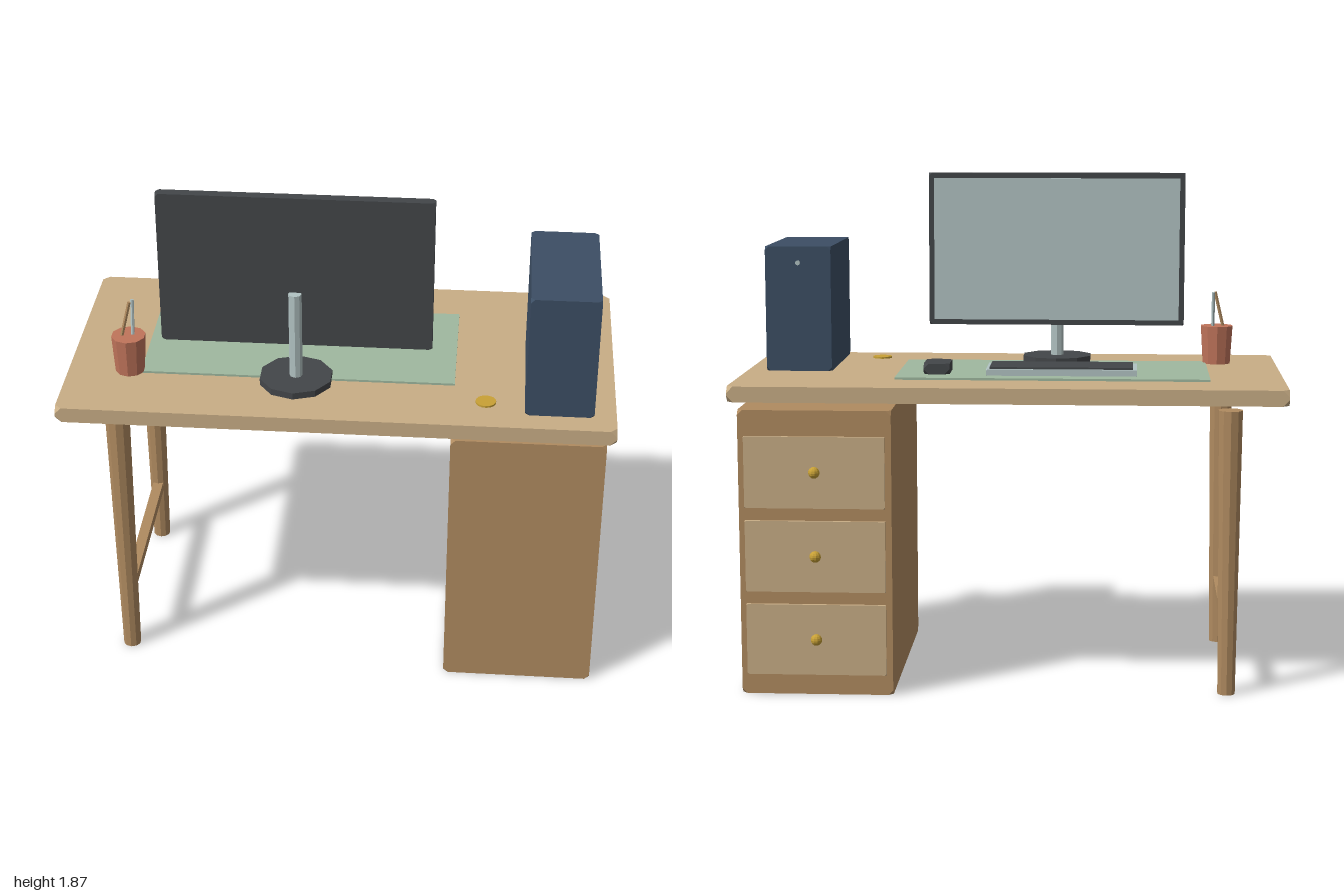
import * as THREE from 'three';
import { ConvexGeometry } from 'three/addons/geometries/ConvexGeometry.js';

const mat = (name, color) => {
  const m = new THREE.MeshStandardMaterial({ color, flatShading: true });
  m.name = name;
  return m;
};

export function createModel() {
  const oak = mat('light oak', 0xc9ae86);
  const walnut = mat('brown wood', 0xb08b60);
  const green = mat('sage green', 0x9fb89f);
  const dark = mat('charcoal', 0x434649);
  const silver = mat('pale silver', 0xb2c3c3);
  const navy = mat('navy', 0x3c4e64);
  const gold = mat('brass', 0xc8a136);
  const clay = mat('terracotta', 0xc0745b);

  const root = new THREE.Group();
  root.name = 'desk';

  const add = (name, geometry, material, x = 0, y = 0, z = 0, parent = root) => {
    const mesh = new THREE.Mesh(geometry, material);
    mesh.name = name;
    mesh.position.set(x, y, z);
    parent.add(mesh);
    return mesh;
  };

  // Box between two ranges per axis, with its eight corners cut off by c
  const block = (name, material, [x0, x1], [y0, y1], [z0, z1], c = 0, parent = root) => {
    const half = [(x1 - x0) / 2, (y1 - y0) / 2, (z1 - z0) / 2];
    let geometry;
    if (c === 0) {
      geometry = new THREE.BoxGeometry(x1 - x0, y1 - y0, z1 - z0);
    } else {
      const pts = [];
      for (const sx of [-1, 1]) for (const sy of [-1, 1]) for (const sz of [-1, 1]) {
        const s = [sx, sy, sz];
        for (let axis = 0; axis < 3; axis++) {
          pts.push(new THREE.Vector3(...half.map((h, i) => s[i] * (h - (i === axis ? c : 0)))));
        }
      }
      geometry = new ConvexGeometry(pts);
    }
    return add(name, geometry, material, (x0 + x1) / 2, (y0 + y1) / 2, (z0 + z1) / 2, parent);
  };

  // Thin rod from a to b
  const rod = (name, material, a, b, r) => {
    const p = new THREE.Vector3(...a), q = new THREE.Vector3(...b);
    const dir = q.clone().sub(p);
    const mid = p.clone().add(q).multiplyScalar(0.5);
    const mesh = add(name, new THREE.CylinderGeometry(r, r, dir.length(), 6), material, mid.x, mid.y, mid.z);
    mesh.quaternion.setFromUnitVectors(new THREE.Vector3(0, 1, 0), dir.normalize());
  };

  // Desk top, cable grommet and mat
  block('deskTop', oak, [-1, 1], [1.083, 1.14], [-0.5, 0.5], 0.024);
  add('grommet', new THREE.CylinderGeometry(0.037, 0.037, 0.012, 16), gold, 0.535, 1.141, 0.337);
  block('deskMat', green, [-0.73, 0.42], [1.139, 1.148], [-0.29, 0.23]);

  // Tapered legs joined by a stretcher
  for (const z of [-0.37, 0.37]) {
    add('leg', new THREE.CylinderGeometry(0.045, 0.033, 1.05, 10), walnut, -0.8, 0.525, z);
  }
  block('legStretcher', walnut, [-0.82, -0.78], [0.23, 0.27], [-0.37, 0.37]);

  // Drawer cabinet, drawers open towards the sitter
  block('cabinet', walnut, [0.415, 0.97], [0, 1.05], [-0.46, 0.46], 0.018);
  for (let i = 0; i < 3; i++) {
    const y = 0.207 + i * 0.309;
    block('drawerFront', oak, [0.438, 0.948], [y - 0.131, y + 0.131], [-0.472, -0.455], 0.005);
    add('drawerKnob', new THREE.SphereGeometry(0.021, 10, 8), gold, 0.692, y + 0.002, -0.479);
  }

  // Monitor on a round foot
  const monitor = new THREE.Group();
  monitor.name = 'monitor';
  root.add(monitor);
  block('monitorCase', dark, [-0.645, 0.335], [1.29, 1.872], [0.199, 0.237], 0.012, monitor);
  block('monitorScreen', silver, [-0.625, 0.315], [1.31, 1.852], [0.193, 0.2], 0, monitor);
  add('monitorFoot', new THREE.CylinderGeometry(0.135, 0.135, 0.025, 10), dark, -0.157, 1.157, 0.245, monitor);
  add('monitorStem', new THREE.CylinderGeometry(0.024, 0.024, 0.335, 8), silver, -0.157, 1.335, 0.246, monitor);

  // Keyboard and mouse
  block('keyboardBase', silver, [-0.465, 0.09], [1.147, 1.171], [-0.222, -0.022], 0.005);
  block('keyboardKeys', dark, [-0.45, 0.077], [1.17, 1.178], [-0.208, -0.036]);
  block('mouse', dark, [0.226, 0.322], [1.147, 1.187], [-0.197, -0.049], 0.019);

  // Computer tower with power button
  block('tower', navy, [0.675, 0.92], [1.145, 1.61], [-0.105, 0.42], 0.014);
  const button = add('powerButton', new THREE.CylinderGeometry(0.009, 0.009, 0.012, 10), silver, 0.797, 1.55, -0.109);
  button.rotation.x = Math.PI / 2;

  // Pen cup
  add('penCup', new THREE.CylinderGeometry(0.063, 0.054, 0.145, 10), clay, -0.772, 1.217, 0.215);
  rod('pencil', walnut, [-0.8, 1.27, 0.217], [-0.764, 1.42, 0.207], 0.007);
  rod('pen', silver, [-0.757, 1.27, 0.21], [-0.757, 1.42, 0.185], 0.007);

  return root;
}
